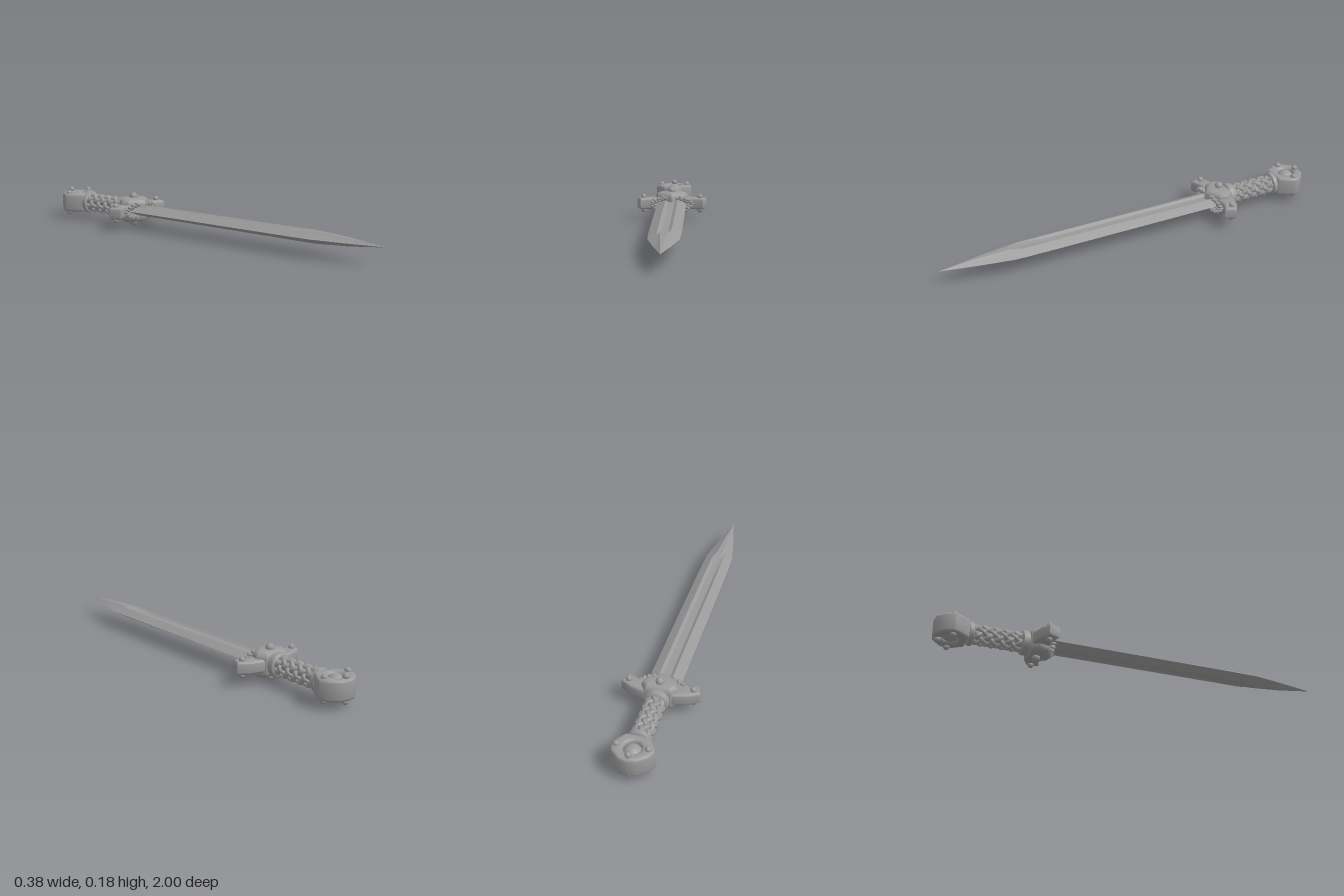
import * as THREE from 'three';
import { toCreasedNormals } from 'three/addons/utils/BufferGeometryUtils.js';

const MID = 0.088; // height of the dagger's central plane

export function createModel() {
  const model = new THREE.Group();
  model.name = 'dagger';
  const steel = new THREE.MeshStandardMaterial({ color: 0x999999 });
  steel.name = 'steel grey';

  function add(name, geometry, x = 0, y = MID, z = 0, parent = model) {
    const mesh = new THREE.Mesh(geometry, steel);
    mesh.name = name;
    mesh.position.set(x, y, z);
    parent.add(mesh);
    return mesh;
  }

  // Bevelled slab from an outline in x and z, centred on y
  function slab(points, height, bevel, holeRadius = 0, holeZ = 0) {
    const shape = new THREE.Shape(points.map(([x, z]) => new THREE.Vector2(x, z)));
    if (holeRadius) shape.holes.push(new THREE.Path().absarc(0, holeZ, holeRadius, 0, Math.PI * 2, true));
    const depth = height - 2 * bevel;
    const g = new THREE.ExtrudeGeometry(shape, {
      depth, bevelThickness: bevel, bevelSize: bevel, bevelOffset: -bevel, bevelSegments: 3, curveSegments: 12,
    });
    g.translate(0, 0, -depth / 2).rotateX(Math.PI / 2);
    return toCreasedNormals(g, 0.6);
  }
  const mirrored = (half) => [...half, ...half.filter(([x]) => x > 0).reverse().map(([x, z]) => [-x, z])];

  // Blade: fullered sections that become a diamond at the point
  // [z, half width, ridge height, fuller height]
  const stations = [
    [-0.5, 0.079, 0.022, 0.013], [0.45, 0.075, 0.024, 0.014], [0.6, 0.073, 0.025, 0.021],
    [0.66, 0.07, 0.02, 0.028], [0.82, 0.04, 0.012, 0.019], [1.0, 0.0005, 0.0003, 0.0005],
  ];
  const rings = stations.map(([z, w, ridge, fuller]) => {
    const top = [[0.42, ridge], [0.22, fuller], [0, fuller], [-0.22, fuller], [-0.42, ridge]];
    return [[1, 0], ...top, [-1, 0], ...top.map(([x, y]) => [-x, -y])].map(([x, y]) => [x * w, y, z]);
  });
  const verts = [];
  for (let i = 0; i < rings.length - 1; i++) {
    for (let j = 0; j < rings[i].length; j++) {
      const k = (j + 1) % rings[i].length;
      const [a, b, c, d] = [rings[i][j], rings[i][k], rings[i + 1][k], rings[i + 1][j]];
      verts.push(...a, ...b, ...c, ...a, ...c, ...d);
    }
  }
  const blade = new THREE.BufferGeometry();
  blade.setAttribute('position', new THREE.Float32BufferAttribute(verts, 3));
  add('blade', toCreasedNormals(blade, 0.35));

  // Guard: thick centre and two swept arms
  add('guardCentre', slab(mirrored([
    [0, -0.545], [0.06, -0.545], [0.088, -0.505], [0.075, -0.465], [0, -0.415],
  ]), 0.124, 0.028));
  const armOutline = [
    [0.03, -0.54], [0.08, -0.538], [0.14, -0.522], [0.189, -0.492], [0.167, -0.436], [0.115, -0.458], [0.03, -0.452],
  ];
  for (const s of [1, -1]) {
    const outline = armOutline.map(([x, z]) => [x * s, z]);
    add(s > 0 ? 'leftGuardArm' : 'rightGuardArm', slab(outline, 0.062, 0.012));
  }

  // Leafy beading around the blade's root
  const beading = new THREE.Group();
  beading.name = 'beading';
  model.add(beading);
  const bead = new THREE.SphereGeometry(0.01, 8, 6);
  for (const s of [1, -1]) {
    for (let i = 0; i < 9; i++) {
      const a = (i / 8 - 0.5) * 2.3;
      for (const [grow, shift] of [[1, 0], [0.84, 0.09]]) {
        const m = add('bead', bead, s * 0.108 * grow * Math.cos(a + shift),
          MID + 0.04 * grow * Math.sin(a + shift), -0.449 + 0.014 * Math.abs(Math.sin(a)), beading);
        m.scale.set(1.15, 0.75, 1.3);
        m.rotation.z = s * a;
      }
    }
  }

  // Grip core and woven strands
  const gripStart = -0.82, gripEnd = -0.575, strands = 6, sweep = Math.PI * 1.6;
  add('gripCore', new THREE.CylinderGeometry(0.037, 0.037, gripEnd - gripStart, 20).rotateX(Math.PI / 2),
    0, MID, (gripStart + gripEnd) / 2);
  const weave = new THREE.Group();
  weave.name = 'gripWeave';
  model.add(weave);
  for (const dir of [1, -1]) {
    for (let i = 0; i < strands; i++) {
      const pts = [];
      for (let k = 0; k <= 36; k++) {
        const turn = (k / 36) * sweep;
        const a = (i / strands) * Math.PI * 2 + dir * turn;
        const r = 0.036 + dir * 0.005 * Math.cos(strands * turn);
        pts.push(new THREE.Vector3(r * Math.cos(a), r * Math.sin(a), gripStart + (k / 36) * (gripEnd - gripStart)));
      }
      add('strand', new THREE.TubeGeometry(new THREE.CatmullRomCurve3(pts), 60, 0.0115, 7), 0, MID, 0, weave);
    }
  }

  // Rounded collars at both ends of the grip
  function collar(name, z, length, r) {
    const h = length / 2;
    const profile = [[0, -h], [r - 0.01, -h], [r - 0.002, -h * 0.7], [r, 0], [r - 0.002, h * 0.7], [r - 0.01, h], [0, h]];
    const g = new THREE.LatheGeometry(profile.map(([x, y]) => new THREE.Vector2(x, y)), 24).rotateX(Math.PI / 2);
    add(name, toCreasedNormals(g, 0.7), 0, MID, z);
  }
  collar('guardCollar', -0.561, 0.042, 0.06);
  collar('pommelCollar', -0.825, 0.03, 0.058);

  // Pommel: faceted ring with a domed centre
  add('pommel', slab(mirrored([
    [0, -1], [0.04, -0.993], [0.085, -0.955], [0.1, -0.915], [0.085, -0.88], [0.055, -0.838], [0, -0.838],
  ]), 0.1, 0.014, 0.04, -0.917));
  add('pommelDome', new THREE.SphereGeometry(0.05, 20, 14), 0, MID, -0.917).scale.set(1, 1.08, 1);

  // Faceted studs on both faces: [x, z, centre height from the middle, radius]
  const studs = [
    [0, -0.5, 0.067, 0.021], [0.153, -0.483, 0.036, 0.0155], [-0.153, -0.483, 0.036, 0.0155],
    [0.072, -0.917, 0.052, 0.016], [-0.072, -0.917, 0.052, 0.016], [0, -0.974, 0.056, 0.016],
  ];
  for (const [x, z, h, r] of studs) {
    for (const s of [1, -1]) add('stud', new THREE.SphereGeometry(r, 8, 6), x, MID + s * h, z);
  }
  return model;
}
